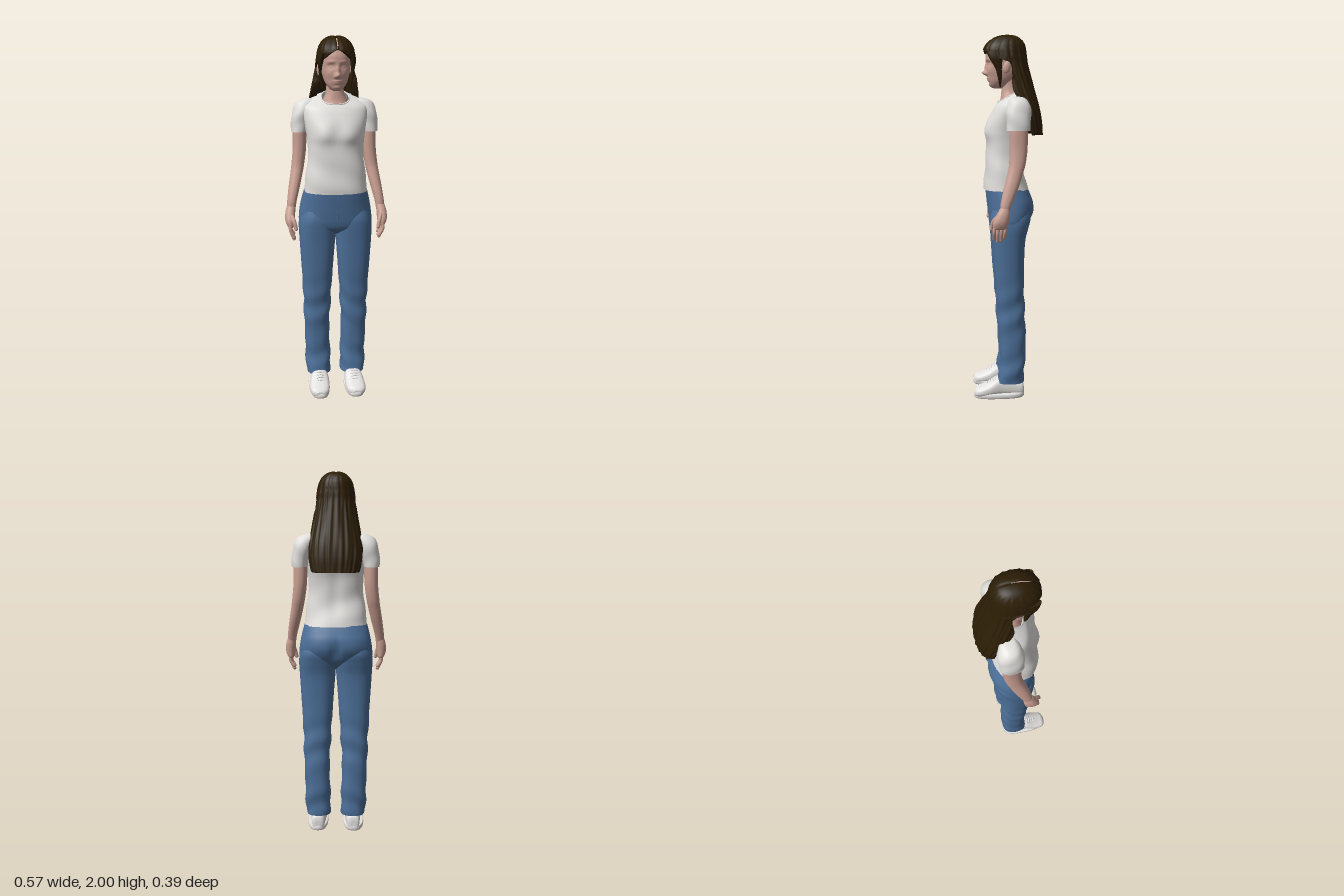
import * as THREE from 'three';

const mat = (name, color, side = THREE.FrontSide) =>
  Object.assign(new THREE.MeshStandardMaterial({ color, side }), { name });

// Smooth skin over a stack of closed rings (listed from low to high)
function skinRings(rings, caps = true) {
  const n = rings[0].length, pos = rings.flat().flatMap(p => [p.x, p.y, p.z]), index = [];
  for (let i = 0; i < rings.length - 1; i++)
    for (let j = 0; j < n; j++) {
      const a = i * n + j, b = i * n + (j + 1) % n;
      index.push(a, b, b + n, a, b + n, a + n);
    }
  if (caps) [0, rings.length - 1].forEach((r, top) => {
    const ring = rings[r], base = pos.length / 3;
    const c = ring.reduce((s, p) => s.add(p), new THREE.Vector3()).divideScalar(n);
    [c, ...ring].forEach(p => pos.push(p.x, p.y, p.z));
    for (let j = 0; j < n; j++) {
      const a = base + 1 + j, b = base + 1 + (j + 1) % n;
      index.push(base, ...(top ? [a, b] : [b, a]));
    }
  });
  const g = new THREE.BufferGeometry();
  g.setAttribute('position', new THREE.Float32BufferAttribute(pos, 3));
  g.setIndex(index);
  g.computeVertexNormals();
  return g;
}

// Catmull-Rom blend between numeric rows
function smoothRows(rows, steps) {
  const out = [], last = rows.length - 1;
  for (let k = 0; k <= last * steps; k++) {
    const i = Math.min(Math.floor(k / steps), last - 1), t = k / steps - i;
    const at = d => rows[Math.max(0, Math.min(last, i + d))];
    out.push(rows[0].map((_, c) => {
      const [a, b, d, e] = [at(-1)[c], at(0)[c], at(1)[c], at(2)[c]];
      return b + 0.5 * t * (d - a + t * (2 * a - 5 * b + 4 * d - e + t * (3 * (b - d) + e - a)));
    }));
  }
  return out;
}

const sPow = (v, e) => Math.sign(v) * Math.abs(v) ** e;

// Body part from rows [y, xMin, xMax, zBack, zFront, tilt]; n is the squareness
function loft(rows, { n = 2.2, segs = 40, steps = 6, fold = () => 0, caps = true } = {}) {
  const full = rows.map(r => [...r, 0].slice(0, 6));
  return skinRings(smoothRows(full, steps).map(([y, x0, x1, z0, z1, tilt]) =>
    Array.from({ length: segs }, (_, j) => {
      const a = j / segs * Math.PI * 2, f = fold(y, a);
      const dz = ((z1 - z0) / 2 + f) * sPow(Math.cos(a), 2 / n);
      return new THREE.Vector3((x0 + x1) / 2 + ((x1 - x0) / 2 + f) * sPow(Math.sin(a), 2 / n),
        y + dz * tilt, (z0 + z1) / 2 + dz);
    })), caps);
}
const sym = rows => rows.map(([y, x, ...rest]) => [y, -x, x, ...rest]);

// Soft bumps [x, y, z, radiusX, radiusY, radiusZ, pushZ, pushY]
function sculpt(g, bumps) {
  const p = g.attributes.position;
  for (let i = 0; i < p.count; i++) {
    const x = p.getX(i), y = p.getY(i), z = p.getZ(i);
    let dz = 0, dy = 0;
    for (const [bx, by, bz, rx, ry, rz, pz, py = 0] of bumps) {
      const w = Math.exp(-(((x - bx) / rx) ** 2) - ((y - by) / ry) ** 2 - ((z - bz) / rz) ** 2);
      dz += pz * w; dy += py * w;
    }
    p.setXYZ(i, x, y + dy, z + dz);
  }
  g.computeVertexNormals();
  return g;
}

function mirror(g) {
  const m = g.clone().scale(-1, 1, 1), ix = m.index.array;
  for (let i = 0; i < ix.length; i += 3) [ix[i], ix[i + 1]] = [ix[i + 1], ix[i]];
  m.computeVertexNormals();
  return m;
}

const tube = (pts, r, closed = false, segs = 14) => new THREE.TubeGeometry(
  new THREE.CatmullRomCurve3(pts.map(p => new THREE.Vector3(...p)), closed), segs, r, 10, closed);

export function createModel() {
  const root = new THREE.Group();
  root.name = 'standingWoman';
  const skin = mat('skin', 0xc99f92), hair = mat('darkBrownHair', 0x2c1e06, THREE.DoubleSide);
  const cotton = mat('whiteCotton', 0xe0dedb, THREE.DoubleSide), denim = mat('blueDenim', 0x4c6f98);
  const shoeWhite = mat('shoeWhite', 0xe4e2e0);
  const add = (name, g, m) => {
    const mesh = new THREE.Mesh(g, m);
    mesh.name = name;
    root.add(mesh);
  };
  const pair = (name, g, m) => { add(name + 'Left', g, m); add(name + 'Right', mirror(g), m); };

  // Head with sculpted face
  const both = (x, ...r) => [[x, ...r], [-x, ...r]];
  add('head', sculpt(loft(sym([
    [1.716, .016, .03, .07], [1.724, .032, .0, .088], [1.75, .053, -.03, .1], [1.78, .066, -.07, .107],
    [1.82, .076, -.09, .112], [1.86, .08, -.095, .116], [1.9, .082, -.095, .116], [1.94, .074, -.085, .1],
    [1.97, .05, -.06, .07], [1.985, .015, -.02, .02]]), { segs: 112, steps: 9 }), [
    [0, 1.798, .11, .013, .013, .05, .026], [0, 1.825, .11, .011, .025, .05, .011],
    [0, 1.769, .11, .022, .006, .05, .007], [0, 1.758, .1, .019, .005, .05, .006],
    [0, 1.735, .095, .02, .01, .04, .005],
    ...both(.013, 1.793, .11, .007, .007, .05, .007), ...both(.034, 1.845, .11, .02, .013, .06, -.011),
    ...both(.034, 1.843, .11, .011, .007, .06, .006), ...both(.035, 1.867, .11, .022, .008, .06, .004),
    ...both(.045, 1.805, .09, .02, .02, .06, .004)]), skin);
  pair('ear', sculpt(new THREE.SphereGeometry(1, 20, 16).scale(.011, .033, .02).rotateX(-.2)
    .translate(.089, 1.825, .008), [[.1, 1.828, .008, .008, .016, .01, -.003]]), skin);
  add('neck', loft(sym([[1.6, .05, -.08, .04], [1.635, .07, -.075, .046], [1.665, .064, -.07, .037],
    [1.7, .05, -.07, .033], [1.74, .046, -.07, .03], [1.78, .048, -.07, .035]])), skin);

  // Long hair: C-shaped sections open at the face, rows [y, halfWidth, zBack, zFront, zEdge, thickness]
  const hairRows = smoothRows([
    [1.468, .122, -.192, -.06, -.125, .002], [1.482, .13, -.191, -.055, -.122, .03],
    [1.54, .141, -.186, -.03, -.11, .036], [1.6, .143, -.175, -.005, -.1, .036],
    [1.65, .137, -.162, .02, -.06, .036], [1.7, .129, -.148, .055, -.03, .034],
    [1.75, .12, -.135, .08, -.02, .032], [1.8, .112, -.122, .105, -.02, .028],
    [1.85, .106, -.11, .12, -.008, .026], [1.88, .103, -.106, .126, .085, .024],
    [1.9, .1, -.103, .13, .115, .02], [1.922, .096, -.1, .13, .129, .018],
    [1.95, .086, -.092, .115, .1149, .015], [1.98, .063, -.07, .08, .0799, .012],
    [1.995, .036, -.04, .042, .0419, .006], [2, .003, -.005, .005, .0049, .001]], 5);
  const arc = 72;
  add('longHair', sculpt(skinRings(hairRows.map(([y, w, z0, z1, edge, thick]) => {
    const cz = (z0 + z1) / 2, rz = (z1 - z0) / 2;
    const start = Math.acos(Math.max(-1, Math.min(.9999, (edge - cz) / rz)));
    const point = (k, inset) => {
      const a = start + k / arc * (Math.PI * 2 - 2 * start);
      const lock = y < 1.97 ? .0018 * Math.sin(a * 19 + y * 5) + .0015 * Math.sin(a * 31 - y * 9) : 0;
      return new THREE.Vector3((w - inset + lock) * sPow(Math.sin(a), .88), y,
        cz + (rz - inset + lock) * sPow(Math.cos(a), .88));
    };
    const ring = [];
    for (let k = 0; k <= arc; k++) ring.push(point(k, 0));
    for (let k = arc; k >= 0; k--) ring.push(point(k, thick));
    return ring;
  }), false), [[0, 1.99, .03, .006, .05, .09, 0, -.005]]), hair);
  pair('hairStrand', loft([[1.72, .068, .073, .04, .046], [1.77, .074, .088, .034, .056],
    [1.82, .078, .094, .035, .07], [1.87, .07, .1, .03, .1], [1.91, .058, .094, .02, .116]], { segs: 20 }), hair);

  // T-shirt body, collar and sleeves
  const shirtFold = (y, a) => .0025 * Math.sin(y * 38 + 3 * Math.sin(a)) * Math.max(0, Math.min(1, (1.5 - y) * 5));
  add('shirtBody', sculpt(loft(sym([
    [1.172, .175, -.113, .13], [1.22, .17, -.1, .13], [1.32, .155, -.078, .121], [1.42, .151, -.086, .116],
    [1.48, .157, -.1, .119], [1.54, .167, -.112, .108], [1.6, .176, -.118, .083, -.05],
    [1.64, .168, -.113, .067, -.2], [1.664, .13, -.094, .059, -.4], [1.677, .075, -.07, .05, -.55]]),
    { n: 2.4, segs: 64, fold: shirtFold, caps: false }), [
    ...both(.068, 1.49, .11, .045, .05, .06, .011), [0, 1.5, .12, .025, .06, .06, -.004],
    [0, 1.36, -.09, .03, .12, .05, .01]]), cotton);
  add('shirtHem', loft(sym([[1.171, .168, -.106, .123], [1.174, .174, -.112, .129]]), { n: 2.4 }), cotton);
  add('collar', tube(Array.from({ length: 24 }, (_, i) => {
    const a = i / 24 * Math.PI * 2, dz = .06 * sPow(Math.cos(a), 2 / 2.4);
    return [.075 * sPow(Math.sin(a), 2 / 2.4), 1.677 - dz * .55, -.01 + dz];
  }), .004, true, 64), cotton);
  pair('sleeve', loft([[1.494, .152, .239, -.106, .014], [1.53, .145, .238, -.11, .016],
    [1.58, .132, .233, -.114, .018], [1.62, .115, .224, -.11, .014], [1.65, .1, .206, -.098, .004],
    [1.666, .098, .175, -.08, -.012], [1.671, .105, .14, -.06, -.025]],
    { fold: (y, a) => .0015 * Math.sin(y * 60 + 2 * a) }), cotton);

  // Arms and hands
  pair('arm', loft([[1.075, .224, .27, .006, .052], [1.12, .216, .268, -.012, .05], [1.2, .195, .257, -.045, .032],
    [1.27, .178, .245, -.068, .014], [1.32, .168, .238, -.083, .004], [1.4, .157, .23, -.094, .001],
    [1.5, .153, .228, -.095, .002], [1.56, .155, .22, -.09, 0]]), skin);
  pair('palm', loft([[.982, .24, .264, .018, .088], [.99, .233, .272, .012, .092], [1.02, .228, .282, .008, .09],
    [1.06, .226, .28, .003, .072], [1.095, .223, .27, .002, .053]]), skin);
  const digit = (name, pts, r) => {
    pair(name, tube(pts, r), skin);
    pair(name + 'Tip', new THREE.SphereGeometry(r, 10, 8).translate(...pts[pts.length - 1]), skin);
  };
  [.93, .917, .922, .938].forEach((tip, i) => {
    const z = .081 - .019 * i;
    digit('finger' + (i + 1), [[.254, 1.01, z], [.254, .966, z + .004], [.236, tip, z + .004]], .0098);
  });
  digit('thumb', [[.25, 1.055, .06], [.235, 1.02, .09], [.226, .98, .098]], .0105);

  // Jeans: hips, legs and fly seam
  add('jeansHips', sculpt(loft(sym([
    [.935, .12, -.05, .05], [.965, .185, -.09, .088], [1, .203, -.118, .102], [1.05, .201, -.137, .109],
    [1.1, .193, -.139, .114], [1.14, .184, -.126, .118], [1.178, .174, -.11, .121]]), { n: 2.35, segs: 64 }), [
    [0, 1.03, -.14, .016, .06, .05, .02], ...both(.085, 1.05, -.13, .06, .05, .05, -.006)]), denim);
  const legFold = (y, a) => .0045 * Math.sin(y * 42 + 2.5 * Math.sin(a + 1)) *
    (Math.exp(-(((y - .5) / .13) ** 2)) + Math.exp(-(((y - .17) / .1) ** 2)));
  pair('jeansLeg', loft([[.088, .03, .167, -.085, .066], [.13, .028, .17, -.088, .054], [.2, .031, .173, -.092, .048],
    [.3, .034, .175, -.095, .05], [.4, .035, .178, -.094, .057], [.5, .03, .181, -.089, .063],
    [.6, .024, .185, -.085, .07], [.7, .017, .19, -.085, .079], [.8, .01, .196, -.086, .086],
    [.9, .002, .202, -.092, .092], [.97, -.002, .205, -.109, .098], [1.02, .004, .2, -.12, .1],
    [1.07, .02, .185, -.11, .09]], { n: 2.4, fold: legFold }), denim);
  add('flySeam', tube([[.004, 1.17, .12], [.004, 1.1, .113], [.002, 1.03, .105]], .0025), denim);

  // Shoes: uppers lofted heel to toe, soles and laces
  const upper = loft([[-.086, .085, .12, -.06, -.012], [-.076, .066, .135, -.088, -.008], [-.03, .058, .139, -.102, -.006],
    [.03, .052, .144, -.115, -.006], [.07, .047, .151, -.109, -.006], [.11, .046, .157, -.084, -.006],
    [.15, .05, .158, -.066, -.006], [.178, .06, .15, -.056, -.008], [.193, .084, .128, -.04, -.014]], { n: 2.5 });
  pair('shoeUpper', upper.rotateX(Math.PI / 2), shoeWhite);
  pair('shoeSole', loft([[0, .05, .155, -.084, .19], [.008, .045, .16, -.088, .196], [.024, .044, .16, -.088, .196],
    [.028, .05, .155, -.084, .19]], { n: 2.7, steps: 2 }), shoeWhite);
  for (let i = 0; i < 4; i++) {
    const z = .072 + i * .015, y = .109 - i * .0095;
    pair('lace' + (i + 1), tube([[.072, y - .008, z], [.1, y + .001, z + .004], [.128, y - .008, z]], .0035), shoeWhite);
  }
  return root;
}
